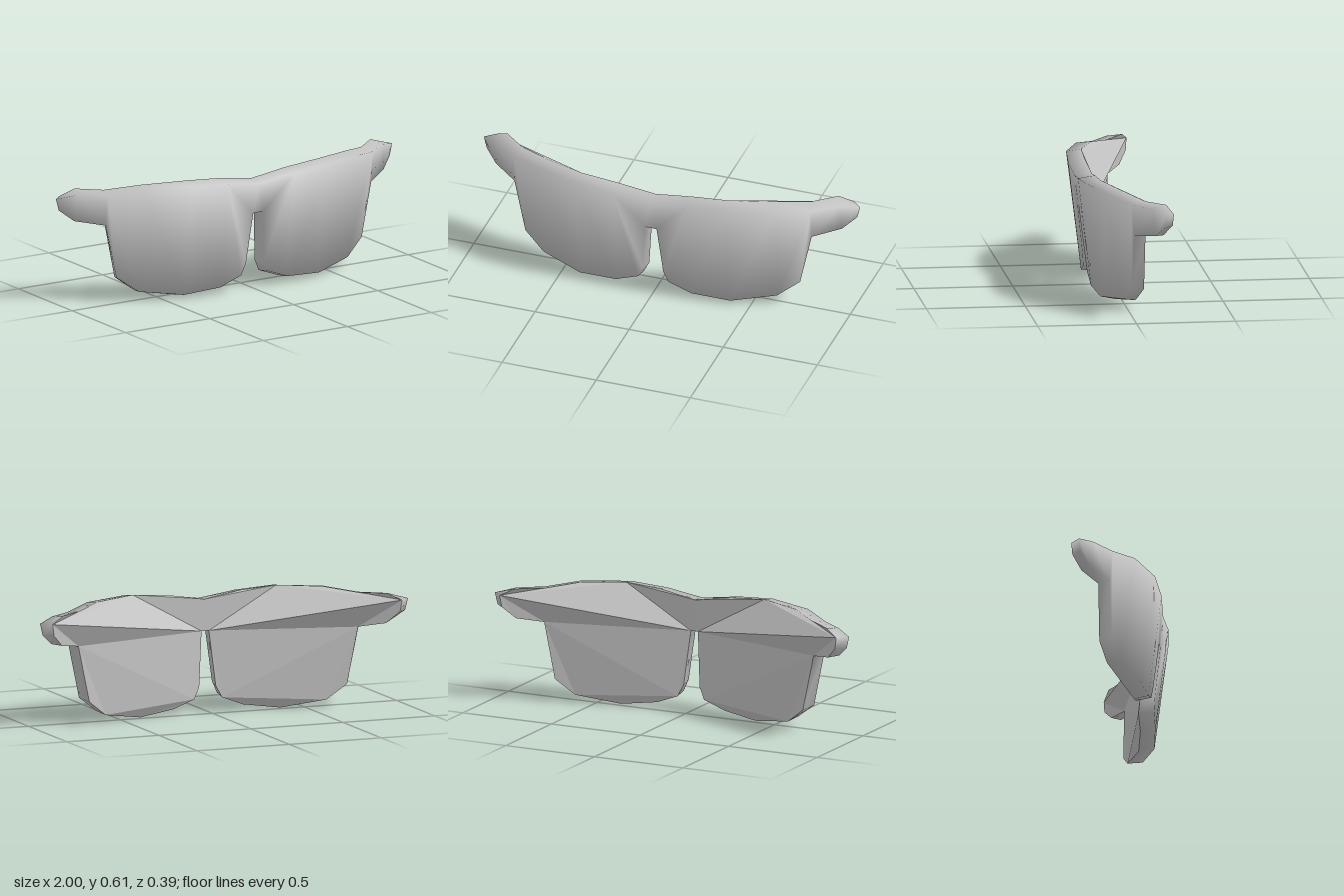
import * as THREE from 'three';

// Half outline, clockwise from the top centre: front rim x,y,z then back rim x,y,z
const HALF = [
  [0, .558, .187, 0, .566, .1],
  [.2, .585, .195, .2, .598, .11],
  [.4, .6, .18, .39, .612, .105],
  [.64, .592, .1, .61, .603, .025],
  [.79, .567, 0, .75, .577, -.06],
  [.91, .567, -.09, .88, .58, -.165],
  [1, .545, -.15, .95, .545, -.195],
  [.985, .485, -.148, .94, .485, -.19],
  [.92, .43, -.105, .88, .425, -.15],
  [.79, .408, -.015, .76, .403, -.075],
  [.73, .13, -.01, .7, .115, -.075],
  [.62, .05, .03, .6, .038, -.045],
  [.4, .02, .108, .38, 0, .03],
  [.2, .035, .13, .19, .025, .055],
  [.08, .08, .134, .075, .068, .055],
  [.055, .14, .14, .045, .128, .065],
  [.03, .405, .17, .02, .405, .095],
];
const mirrorPoint = ([a, b, c, d, e, f]) => [-a, b, c, -d, e, f];
const LOOP = [...HALF, ...HALF.slice(1).reverse().map(mirrorPoint)];
const N = LOOP.length;

// Triangles of one half, by outline number
const FRONT = [
  [0, 1, 16], [1, 15, 16], [1, 14, 15], [1, 13, 14], [1, 2, 13], [2, 12, 13],
  [2, 3, 12], [3, 11, 12], [3, 4, 11], [4, 10, 11], [4, 9, 10],
  [4, 5, 9], [5, 8, 9], [5, 6, 8], [6, 7, 8],
];
const BACK = [
  [0, 1, 2], [0, 2, 16], [2, 6, 16], [2, 3, 6], [3, 4, 6], [4, 5, 6],
  [6, 7, 8], [6, 8, 9], [6, 9, 16], [9, 14, 16], [9, 11, 14], [9, 10, 11],
  [14, 15, 16], [12, 13, 14], [11, 12, 14],
];

// Both halves plus the bridge triangle, every one in outline order
function bothHalves(tris) {
  const other = tris.map(t => t.map(i => (N - i) % N));
  return [...tris, ...other, [0, 16, 17]].map(t => t.sort((a, b) => a - b));
}

function makeGeometry(points, index) {
  const g = new THREE.BufferGeometry();
  g.setAttribute('position', new THREE.Float32BufferAttribute(points.flat(), 3));
  g.setIndex(index);
  g.computeVertexNormals();
  return g;
}

export function createModel() {
  const group = new THREE.Group();
  group.name = 'curvedShield';
  const grey = new THREE.MeshStandardMaterial({ color: 0xc0c0c0 });
  grey.name = 'grey';

  const frontRim = LOOP.map(p => p.slice(0, 3));
  const backRim = LOOP.map(p => p.slice(3));

  // Front face and the wall that joins the two rims
  const front = makeGeometry(frontRim, bothHalves(FRONT).flatMap(([a, b, c]) => [a, c, b]));
  const wallIndex = [];
  for (let i = 0; i < N; i++) {
    const j = (i + 1) % N;
    wallIndex.push(i, j, N + i, j, N + j, N + i);
  }
  const wall = makeGeometry([...frontRim, ...backRim], wallIndex);

  // Blend the normals along the front rim so the face rolls into the wall
  const fn = front.attributes.normal, wn = wall.attributes.normal;
  const a = new THREE.Vector3(), b = new THREE.Vector3();
  for (let i = 0; i < N; i++) {
    a.fromBufferAttribute(fn, i).add(b.fromBufferAttribute(wn, i)).normalize();
    fn.setXYZ(i, a.x, a.y, a.z);
    wn.setXYZ(i, a.x, a.y, a.z);
  }

  // Faceted back
  const back = makeGeometry(backRim, bothHalves(BACK).flat()).toNonIndexed();
  back.computeVertexNormals();

  for (const [name, geometry] of Object.entries({ frontFace: front, rimWall: wall, backFace: back })) {
    const mesh = new THREE.Mesh(geometry, grey);
    mesh.name = name;
    group.add(mesh);
  }
  return group;
}
